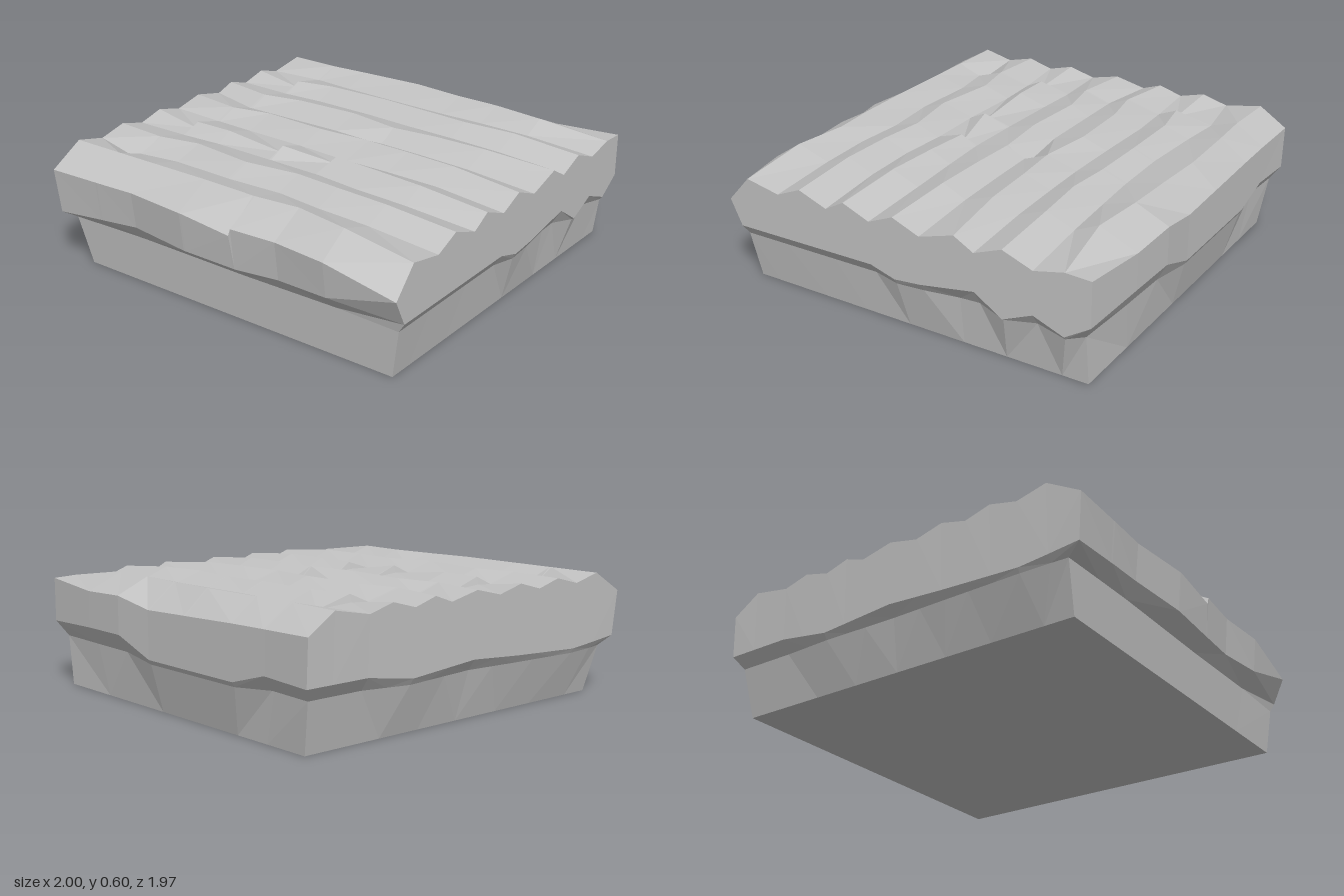
import * as THREE from 'three';

// Linear interpolation through [position, value] pairs, positions rising
function along(table, p) {
  if (p <= table[0][0]) return table[0][1];
  for (let i = 1; i < table.length; i++) {
    const [p0, v0] = table[i - 1], [p1, v1] = table[i];
    if (p <= p1) return v0 + (v1 - v0) * (p - p0) / (p1 - p0);
  }
  return table[table.length - 1][1];
}

// Rows of the ridged top, front to back: z, valley height, ridge height, column x
const rows = [
  [0.975, 0.505, 0.56, [-0.97, -0.85, -0.67, -0.54, -0.39, -0.29, -0.15, -0.02, 0.12, 0.30, 0.40, 0.54, 0.69, 0.84, 0.965]],
  [0.62, 0.535, 0.59, [-0.99, -0.84, -0.67, -0.54, -0.40, -0.28, -0.14, 0.00, 0.12, 0.27, 0.40, 0.54, 0.68, 0.80, 0.985]],
  [0.35, 0.545, 0.595, [-0.97, -0.80, -0.67, -0.53, -0.40, -0.26, -0.15, 0.01, 0.12, 0.26, 0.40, 0.52, 0.67, 0.83, 0.995]],
  [0.12, 0.55, 0.595, [-0.99, -0.82, -0.65, -0.51, -0.38, -0.24, -0.16, 0.02, 0.12, 0.24, 0.40, 0.54, 0.66, 0.84, 0.985]],
  [-0.16, 0.555, 0.6, [-1.0, -0.82, -0.67, -0.55, -0.38, -0.29, -0.15, 0.00, 0.12, 0.28, 0.41, 0.55, 0.66, 0.86, 0.985]],
  [-0.5, 0.555, 0.6, [-0.97, -0.82, -0.66, -0.51, -0.37, -0.29, -0.14, 0.02, 0.12, 0.27, 0.42, 0.55, 0.68, 0.85, 0.985]],
  [-0.71, 0.555, 0.6, [-0.98, -0.82, -0.69, -0.55, -0.38, -0.29, -0.13, -0.02, 0.12, 0.23, 0.41, 0.51, 0.70, 0.84, 0.985]],
  [-0.995, 0.565, 0.6, [-0.99, -0.82, -0.67, -0.53, -0.40, -0.27, -0.13, 0.02, 0.18, 0.28, 0.40, 0.53, 0.66, 0.85, 0.99]],
];
// Columns that drop behind a crack, by row
const cracks = { 3: [0, 5, 8], 4: [5], 6: [2, 5, 11] };

const rightRim = [[-1, 0.51], [-0.5, 0.5], [0.13, 0.48], [0.35, 0.52], [0.62, 0.51], [0.97, 0.535]];
const leftRim = [[-1, 0.5], [0.12, 0.5], [0.62, 0.49], [0.97, 0.41]];
const frontLip = [[-0.9, 0.285], [-0.13, 0.295], [0, 0.25], [0.4, 0.32], [0.54, 0.23], [0.68, 0.3], [0.84, 0.24], [0.96, 0.32]];
const rightLip = [[-0.99, 0.31], [-0.71, 0.31], [-0.5, 0.25], [0.12, 0.25], [0.35, 0.335], [0.97, 0.33]];
const backLip = [[-1, 0.28], [-0.67, 0.25], [-0.27, 0.27], [0.02, 0.29], [0.4, 0.26], [0.66, 0.3], [1, 0.3]];
const leftLip = [[-1, 0.28], [-0.5, 0.32], [0.12, 0.3], [0.62, 0.32], [0.97, 0.285]];

// Grid of top points; cracked rows appear twice, the second one dropped
function topGrid() {
  const grid = [];
  rows.forEach(([z, valley, ridge, xs], r) => {
    const line = (dz, low) => xs.map((x, c) => {
      let y = c % 2 ? ridge : valley;
      if (c === 0) y = along(leftRim, z);
      if (c === 14) y = along(rightRim, z);
      if (r === 0 && (c === 1 || c === 13)) y = 0.54;
      return [x, low.includes(c) ? y - 0.035 : y, z + dz];
    });
    grid.push(line(0, []));
    if (cracks[r]) grid.push(line(-0.012, cracks[r]));
  });
  return grid;
}

function meshOf(name, quads, material) {
  const pos = [];
  quads.forEach(([a, b, c, d], i) => {
    if (i % 2) pos.push(...a, ...b, ...c, ...a, ...c, ...d);
    else pos.push(...a, ...b, ...d, ...b, ...c, ...d);
  });
  const g = new THREE.BufferGeometry();
  g.setAttribute('position', new THREE.Float32BufferAttribute(pos, 3));
  g.computeVertexNormals();
  const mesh = new THREE.Mesh(g, material);
  mesh.name = name;
  return mesh;
}

// Quads joining two closed rings, lower one first
const band = (low, up) => low.map((p, i) => {
  const j = (i + 1) % low.length;
  return [p, low[j], up[j], up[i]];
});

export function createModel() {
  const stone = new THREE.MeshStandardMaterial({ color: 0xc2c2c2, flatShading: true });
  stone.name = 'light grey stone';
  const grid = topGrid(), last = grid.length - 1, n = 14;

  // Ridged top
  const top = [];
  for (let r = 0; r < last; r++) {
    for (let c = 0; c < n; c++) top.push([grid[r][c], grid[r][c + 1], grid[r + 1][c + 1], grid[r + 1][c]]);
  }

  // Rim of the top, counterclockwise from the front corner at -x
  const edge = [];
  for (let c = 0; c < n; c++) edge.push([0, c]);
  for (let r = 0; r < last; r++) edge.push([r, n]);
  for (let c = n; c > 0; c--) edge.push([last, c]);
  for (let r = last; r > 0; r--) edge.push([r, 0]);

  const rim = [], lip = [], neck = [], foot = [];
  edge.forEach(([r, c]) => {
    const p = grid[r][c], [x, , z] = p;
    const front = r === 0, back = r === last, left = c === 0, right = c === n;
    const y = front ? along(frontLip, x) : back ? along(backLip, x) : right ? along(rightLip, z) : along(leftLip, z);
    const lx = left ? (front ? -0.91 : x + 0.02) : x;
    const lz = back ? -0.985 : z;
    // The overhang is deeper where the lip is higher
    const inset = THREE.MathUtils.clamp((y - 0.23) * 0.6, 0.012, 0.045);
    rim.push(p);
    lip.push([lx, y, lz]);
    neck.push([
      left ? -0.9 : right ? x - inset : Math.max(x, -0.9),
      0.225 + (y - 0.24) * 0.25,
      front ? z - inset : back ? lz + inset : z,
    ]);
    foot.push([
      left ? -0.88 : right ? 0.92 : x * 0.92 + 0.02,
      0,
      front ? 0.9 : back ? -0.89 : z * 0.9,
    ]);
  });

  const group = new THREE.Group();
  group.name = 'ridgedStoneSlab';
  group.add(meshOf('ridgedTop', top, stone));
  group.add(meshOf('slabSides', band(lip, rim), stone));
  group.add(meshOf('overhang', band(neck, lip), stone));
  group.add(meshOf('baseSides', band(foot, neck), stone));
  // Flat underside
  group.add(meshOf('underside', [[[-0.88, 0, -0.89], [0.92, 0, -0.89], [0.92, 0, 0.9], [-0.88, 0, 0.9]]], stone));
  return group;
}
